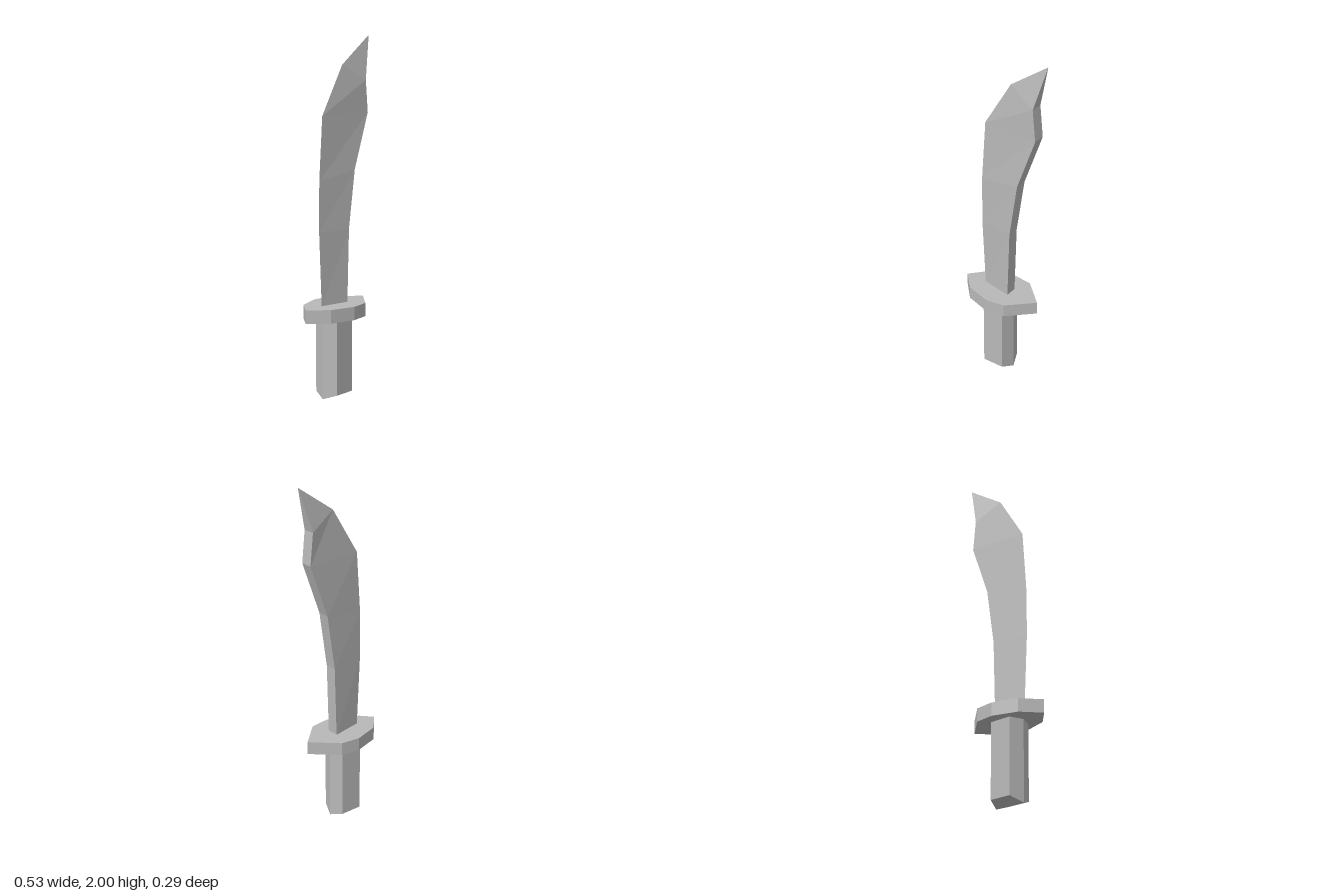
import * as THREE from 'three';

const steel = new THREE.MeshStandardMaterial({ color: 0xb8b8b8 });
steel.name = 'plainSteel';

// Faceted solid through rings of points, each ring counter-clockwise seen from above, listed bottom to top
function loft(name, rings) {
  const pos = [];
  const tri = (...pts) => {
    const [a, b, c] = pts.map((p) => new THREE.Vector3(...p));
    if (new THREE.Triangle(a, b, c).getArea() > 1e-7) pts.forEach((p) => pos.push(...p));
  };
  const n = rings[0].length;
  for (let r = 0; r < rings.length - 1; r++) {
    const lo = rings[r], hi = rings[r + 1];
    for (let i = 0; i < n; i++) {
      const j = (i + 1) % n;
      tri(lo[i], lo[j], hi[j]);
      tri(lo[i], hi[j], hi[i]);
    }
  }
  // End caps as fans from the first corner
  const bottom = rings[0], top = rings[rings.length - 1];
  for (let i = 1; i < n - 1; i++) {
    tri(bottom[0], bottom[i + 1], bottom[i]);
    tri(top[0], top[i], top[i + 1]);
  }
  const geometry = new THREE.BufferGeometry();
  geometry.setAttribute('position', new THREE.Float32BufferAttribute(pos, 3));
  geometry.computeVertexNormals();
  const mesh = new THREE.Mesh(geometry, steel);
  mesh.name = name;
  return mesh;
}

// Outline mirrored across z = 0, given as [x, depth] from the right tip to the left tip
function mirrored(half) {
  const back = half.map(([x, d]) => [x, -d]);
  const front = half.slice(1, -1).reverse();
  return [...back, ...front];
}

export function createModel() {
  const group = new THREE.Group();
  group.name = 'curvedSword';

  // Grip: six-sided bar with a ridged underside
  const gripOutline = mirrored([[0.062, 0], [0.033, 0.077], [-0.095, 0.077], [-0.127, 0]]);
  group.add(loft('grip', [
    gripOutline.map(([x, z]) => [x, z === 0 ? 0 : 0.028, z]),
    gripOutline.map(([x, z]) => [x, 0.46, z]),
  ]));

  // Guard: flat pointed plate
  const guardOutline = mirrored([[0.222, 0], [0.083, 0.131], [-0.03, 0.145], [-0.175, 0.1], [-0.267, 0]]);
  group.add(loft('guard', [0.455, 0.53].map((y) => guardOutline.map(([x, z]) => [x, y, z]))));

  // Blade: wedge sections [spine x, spine y, edge x, edge y, half thickness]
  const sections = [
    [0.042, 0.52, -0.135, 0.52, 0.035],
    [0.055, 0.94, -0.155, 0.94, 0.035],
    [0.104, 1.265, -0.153, 1.22, 0.035],
    [0.216, 1.575, -0.128, 1.57, 0.035],
    [0.198, 1.755, 0.037, 1.84, 0.035],
    [0.265, 2, 0.265, 2, 0],
  ];
  group.add(loft('blade', sections.map(([sx, sy, ex, ey, t]) => [[sx, sy, t], [sx, sy, -t], [ex, ey, 0]])));

  return group;
}
